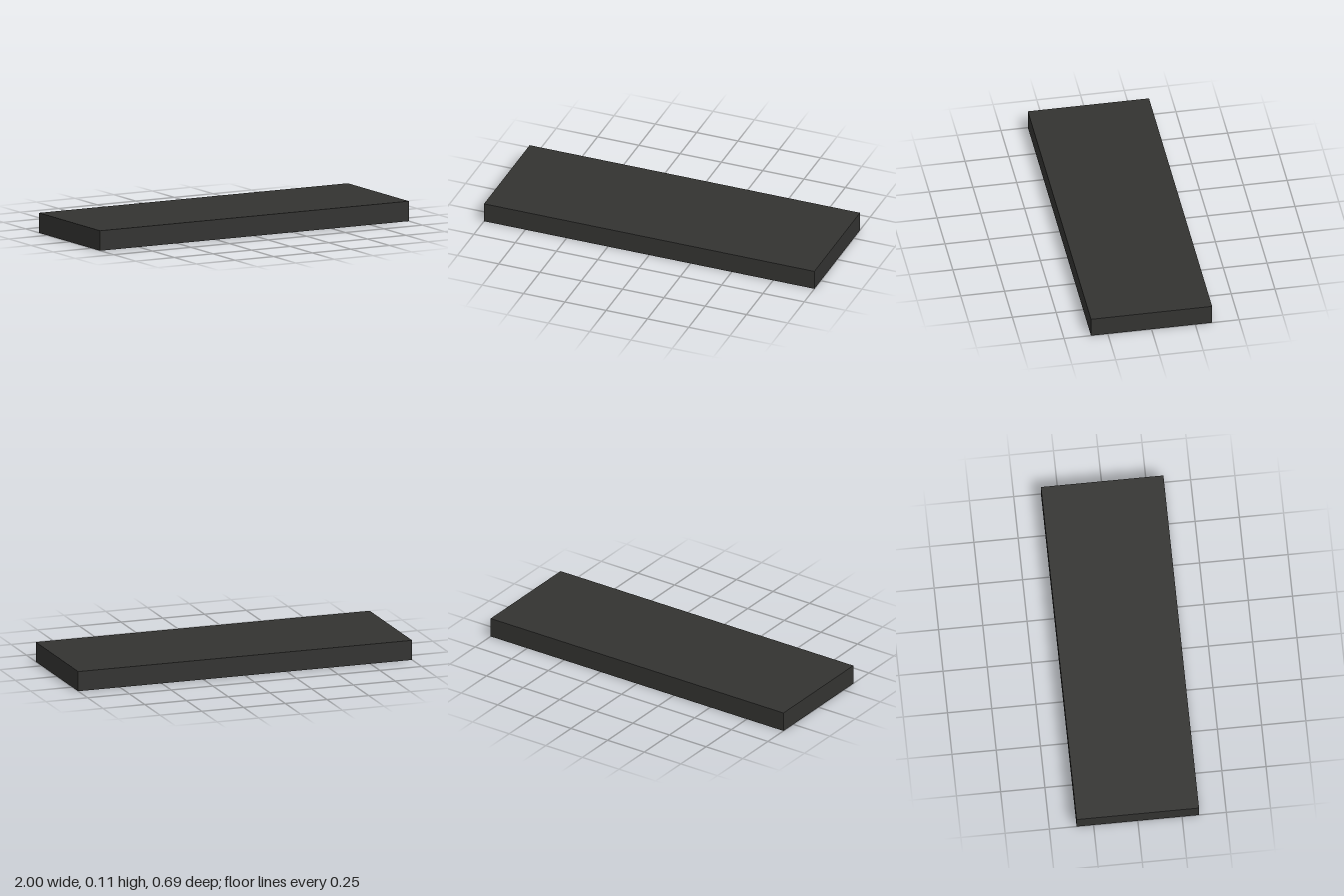
import * as THREE from 'three';

const WIDTH = 2, DEPTH = 0.692, HEIGHT = 0.114;
const OPEN_X = 0.855, OPEN_Z = 0.298; // half sizes of the lower opening
const CEILING = 0.087, SKIN = 0.004;

export function createModel() {
  const model = new THREE.Group();
  model.name = 'recessedLight';
  const dark = new THREE.MeshStandardMaterial({ color: 0x333331 });
  const grey = new THREE.MeshStandardMaterial({ color: 0xcccccc });

  const add = (name, geometry, material, x = 0, y = 0, z = 0) => {
    const mesh = new THREE.Mesh(geometry, material);
    mesh.name = name;
    mesh.position.set(x, y, z);
    model.add(mesh);
    return mesh;
  };
  const box = (name, w, h, d, x, y, z, material = grey) =>
    add(name, new THREE.BoxGeometry(w, h, d), material, x, y, z);
  const rectangle = (target, hx, hz) => target
    .moveTo(-hx, -hz).lineTo(hx, -hz).lineTo(hx, hz).lineTo(-hx, hz).closePath();

  // Housing: a shell with a rectangular well, open at the bottom
  const frame = rectangle(new THREE.Shape(), WIDTH / 2, DEPTH / 2);
  frame.holes.push(rectangle(new THREE.Path(), OPEN_X + SKIN, OPEN_Z + SKIN));
  const shell = new THREE.ExtrudeGeometry(frame, { depth: CEILING + SKIN, bevelEnabled: false });
  shell.rotateX(-Math.PI / 2);
  add('housingFrame', shell, dark);
  const lid = HEIGHT - CEILING - SKIN;
  box('housingTop', WIDTH, lid, DEPTH, 0, HEIGHT - lid / 2, 0, dark);

  // Reflector lining the well
  box('reflectorCeiling', 2 * OPEN_X, SKIN, 2 * OPEN_Z, 0, CEILING + SKIN / 2, 0);
  const wallHeight = CEILING - 0.001, wallY = 0.001 + wallHeight / 2;
  for (const side of [-1, 1]) {
    box('reflectorEnd', SKIN, wallHeight, 2 * OPEN_Z, side * (OPEN_X + SKIN / 2), wallY, 0);
    box('reflectorSide', 2 * OPEN_X, wallHeight, SKIN, 0, wallY, side * (OPEN_Z + SKIN / 2));
  }

  // Lamp tubes, one along the middle of each row of cells
  const tube = new THREE.CylinderGeometry(0.023, 0.023, 2 * OPEN_X, 24).rotateZ(Math.PI / 2);
  for (const z of [-0.22, 0, 0.22]) add('lampTube', tube, grey, 0, 0.06, z);

  // Louvre grid below the tubes
  const slatHeight = 0.04, slatY = 0.004 + slatHeight / 2, slat = 0.012;
  for (const z of [-0.143, 0.143]) box('longSlat', 2 * OPEN_X, slatHeight, slat, 0, slatY, z);
  for (const x of [-0.63, -0.27, 0, 0.27, 0.63]) {
    box('crossSlat', slat, slatHeight, 2 * OPEN_Z, x, slatY, 0);
  }
  return model;
}
